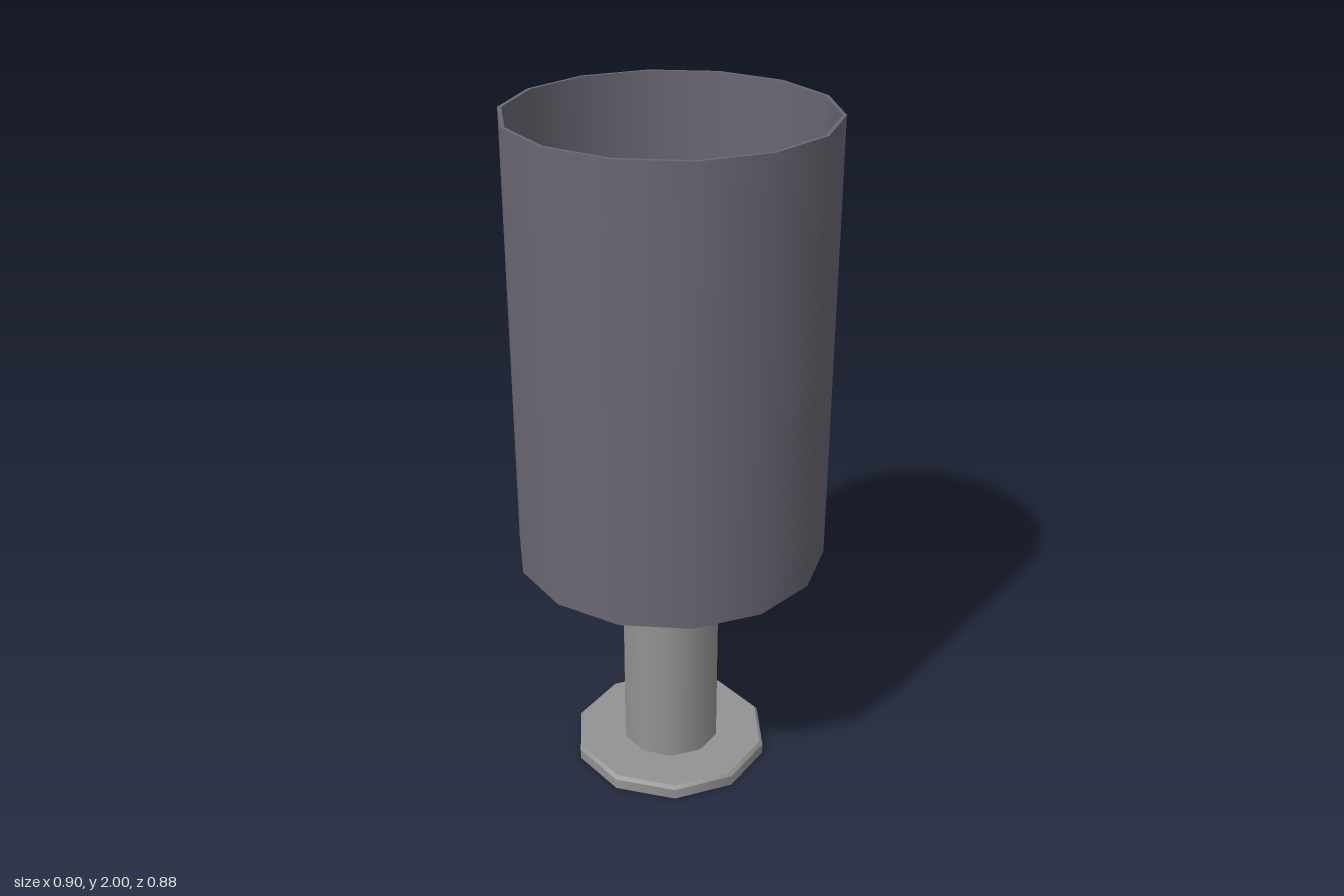
import * as THREE from 'three';

export function createModel() {
  const model = new THREE.Group();
  model.name = 'tableLamp';

  const metal = new THREE.MeshStandardMaterial({ color: 0x939393 });
  metal.name = 'grey metal';
  const fabric = new THREE.MeshStandardMaterial({ color: 0x6a6773, side: THREE.DoubleSide });
  fabric.name = 'dark shade fabric';

  function add(name, geometry, material, parent = model) {
    const mesh = new THREE.Mesh(geometry, material);
    mesh.name = name;
    parent.add(mesh);
    return mesh;
  }

  // Round section from y0 to y1, with a corner on the x axis
  function section(name, r0, r1, y0, y1, sides, material, open = false, parent = model) {
    const geometry = new THREE.CylinderGeometry(r1, r0, y1 - y0, sides, 1, open, Math.PI / 2);
    geometry.translate(0, (y0 + y1) / 2, 0);
    return add(name, geometry, material, parent);
  }

  // Foot with a small bevel, then the stem
  section('base', 0.297, 0.297, 0, 0.032, 10, metal);
  section('baseBevel', 0.297, 0.288, 0.032, 0.042, 10, metal);
  section('stem', 0.148, 0.148, 0.042, 1.0, 10, metal);

  // Collar and socket inside the shade
  section('collar', 0.162, 0.143, 1.0, 1.1, 10, metal);
  section('socket', 0.085, 0.085, 1.1, 1.2, 10, metal);
  section('socketCap', 0.085, 0.057, 1.2, 1.21, 10, metal);

  // Four thin arms rising from the socket to the shade
  const inner = 0.08, outer = 0.441, yIn = 1.17, yOut = 1.4;
  const length = Math.hypot(outer - inner, yOut - yIn);
  for (let i = 0; i < 4; i++) {
    const geometry = new THREE.BoxGeometry(length, 0.007, 0.007);
    geometry.rotateZ(Math.atan2(yOut - yIn, outer - inner));
    // Alternate arms meet a flat side of the shade, slightly nearer the axis
    geometry.scale(i % 2 ? 0.975 : 1, 1, 1);
    geometry.translate((inner + outer) / 2 - (i % 2 ? 0.005 : 0), (yIn + yOut) / 2, 0);
    geometry.rotateY(i * Math.PI / 2);
    add('shadeArm', geometry, metal);
  }

  // Open shade: outer wall, inner wall and two rims
  const shade = new THREE.Group();
  shade.name = 'shade';
  model.add(shade);
  const bottom = 0.71, top = 2;
  section('shadeOuterWall', 0.45, 0.45, bottom, top, 14, fabric, true, shade);
  section('shadeInnerWall', 0.439, 0.439, bottom, top, 14, fabric, true, shade);
  for (const [name, y, turn] of [['shadeTopRim', top, -1], ['shadeBottomRim', bottom, 1]]) {
    const rim = new THREE.RingGeometry(0.439, 0.45, 14);
    rim.rotateX(turn * Math.PI / 2);
    rim.translate(0, y, 0);
    add(name, rim, fabric, shade);
  }

  return model;
}
